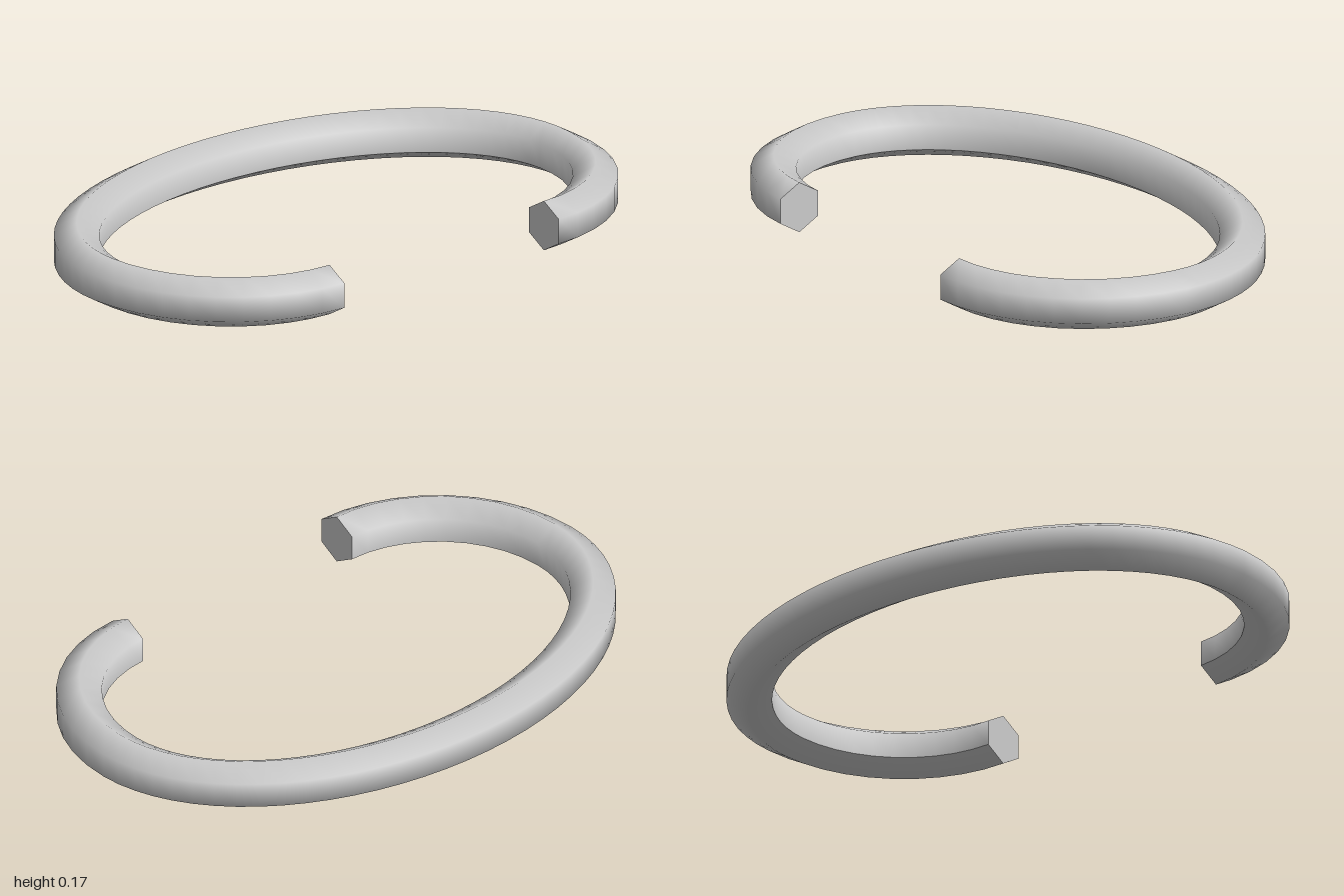
import * as THREE from 'three';

const RADIUS = 0.083; // hexagon corner radius, a corner points up
const SIDES = 6;
const END_X = 0.447, SIDE_X = 0.928, BACK_Z = -0.565, FRONT_Z = 0.563, MID_Z = 0.07;

// Centre line from the left tip round the back to the right tip, with outward normals
function centreLine() {
  const points = [];
  const arc = (cx, rx, rz, from, to, steps, first) => {
    for (let i = first; i <= steps; i++) {
      const a = THREE.MathUtils.lerp(from, to, i / steps);
      const c = Math.cos(a), s = Math.sin(a);
      points.push({
        pos: new THREE.Vector2(cx + rx * c, MID_Z + rz * s),
        out: new THREE.Vector2(c / rx, s / rz).normalize(),
      });
    }
  };
  const r = SIDE_X - END_X, h = Math.PI / 2;
  arc(END_X, r, FRONT_Z - MID_Z, h, 0, 10, 0); // left front curl
  arc(0, SIDE_X, MID_Z - BACK_Z, 0, -2 * h, 36, 1); // wide back sweep
  arc(-END_X, r, FRONT_Z - MID_Z, -2 * h, -3 * h, 10, 1); // right front curl
  return points;
}

// Sweep of the hexagon; the seam lies on the lower inner edge
function bandGeometry(line) {
  const position = [], index = [];
  for (const { pos, out } of line) {
    for (let j = 0; j <= SIDES; j++) {
      const a = Math.PI * 7 / 6 + j * Math.PI * 2 / SIDES;
      const d = RADIUS * Math.cos(a);
      position.push(pos.x + out.x * d, RADIUS + RADIUS * Math.sin(a), pos.y + out.y * d);
    }
  }
  const n = SIDES + 1;
  for (let i = 0; i < line.length - 1; i++) {
    for (let j = 0; j < SIDES; j++) {
      const a = i * n + j, b = a + 1, c = a + n, d = c + 1;
      index.push(a, b, c, b, d, c);
    }
  }
  const geometry = new THREE.BufferGeometry();
  geometry.setAttribute('position', new THREE.Float32BufferAttribute(position, 3));
  geometry.setIndex(index);
  geometry.computeVertexNormals();
  return geometry;
}

export function createModel() {
  const group = new THREE.Group();
  group.name = 'openCuffBracelet';
  const material = new THREE.MeshStandardMaterial({ color: 0xcccccc, side: THREE.DoubleSide });

  const band = new THREE.Mesh(bandGeometry(centreLine()), material);
  band.name = 'band';
  group.add(band);

  // Flat hexagonal ends facing each other across the gap
  for (const side of [1, -1]) {
    const cap = new THREE.Mesh(new THREE.CircleGeometry(RADIUS, SIDES, Math.PI / 2), material);
    cap.name = side > 0 ? 'leftEnd' : 'rightEnd';
    cap.position.set(side * END_X, RADIUS, FRONT_Z);
    cap.rotation.y = -side * Math.PI / 2;
    group.add(cap);
  }
  return group;
}
